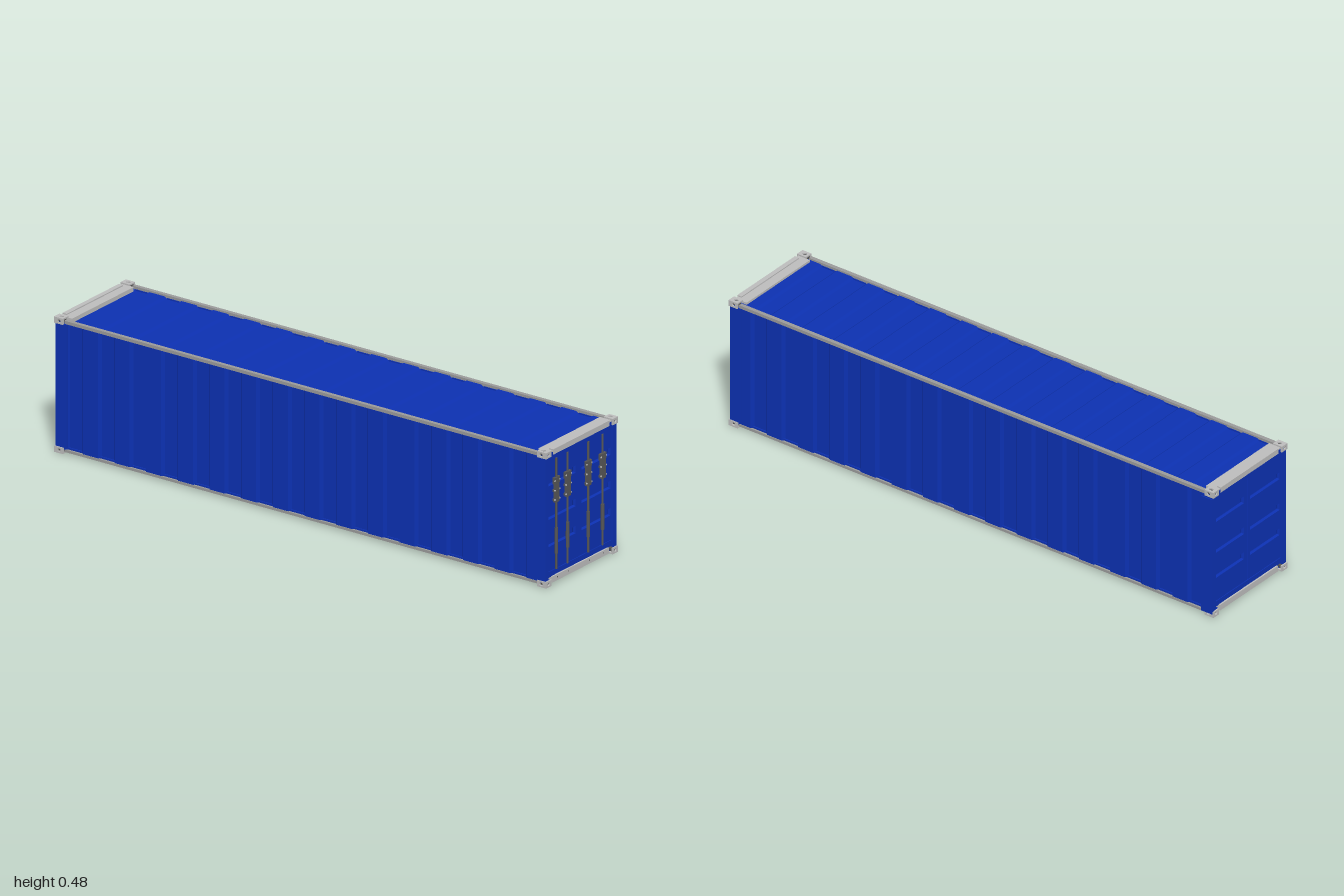
import * as THREE from 'three';

const mat = (color, side = THREE.FrontSide) =>
  new THREE.MeshStandardMaterial({ color, side, flatShading: true });

export function createModel() {
  const root = new THREE.Group();
  root.name = 'shippingContainer';
  const blue = mat(0x0c30b0), blueSheet = mat(0x0c30b0, THREE.DoubleSide);
  const grey = mat(0xbbbbbb), rail = mat(0x999999), dark = mat(0x555555), bolt = mat(0xaaaaaa);

  const add = (parent, name, geo, m, x = 0, y = 0, z = 0) => {
    const mesh = new THREE.Mesh(geo, m);
    mesh.name = name;
    mesh.position.set(x, y, z);
    parent.add(mesh);
    return mesh;
  };
  // Box given by its minimum and maximum corners
  const box = (parent, name, m, x0, x1, y0, y1, z0, z1) =>
    add(parent, name, new THREE.BoxGeometry(x1 - x0, y1 - y0, z1 - z0), m,
      (x0 + x1) / 2, (y0 + y1) / 2, (z0 + z1) / 2);
  const rect = (x0, x1, y0, y1, Type = THREE.Shape) => new Type([
    [x0, y0], [x1, y0], [x1, y1], [x0, y1]].map(p => new THREE.Vector2(...p)));

  // Corrugated sheet: trapezoid profile along local x, extruded along local z
  const PITCH = 0.1287;
  const sheet = (name, centre, depth, length, xAxis, yAxis, zAxis, origin) => {
    const outer = [[-0.975, 0]];
    for (let k = -7; k <= 7; k++) {
      const c = centre + k * PITCH;
      outer.push([c - 0.034, 0], [c - 0.025, -depth], [c + 0.025, -depth], [c + 0.034, 0]);
    }
    outer.push([0.975, 0]);
    const inner = outer.map(([s, t]) => [s, t - 0.004]).reverse();
    const shape = new THREE.Shape([...outer, ...inner].map(p => new THREE.Vector2(...p)));
    const geo = new THREE.ExtrudeGeometry(shape, { depth: length, bevelEnabled: false });
    geo.applyMatrix4(new THREE.Matrix4().makeBasis(xAxis, yAxis, zAxis).setPosition(...origin));
    add(root, name, geo, blueSheet);
  };
  const V = (x, y, z) => new THREE.Vector3(x, y, z);
  sheet('leftWall', -0.02, 0.01, 0.45, V(0, 0, 1), V(1, 0, 0), V(0, 1, 0), [0.192, 0.012, 0]);
  sheet('rightWall', 0.02, 0.01, 0.45, V(0, 0, -1), V(-1, 0, 0), V(0, 1, 0), [-0.192, 0.012, 0]);
  sheet('roof', 0.023, 0.007, 0.364, V(0, 0, -1), V(0, 1, 0), V(1, 0, 0), [-0.182, 0.465, 0]);
  box(root, 'floor', blue, -0.187, 0.187, 0.012, 0.022, -0.975, 0.975);

  // Long rails and corner posts
  for (const s of [-1, 1]) {
    box(root, 'topRail', rail, s * 0.188 - 0.007, s * 0.188 + 0.007, 0.46, 0.471, -0.96, 0.96);
    box(root, 'bottomRail', rail, s * 0.188 - 0.006, s * 0.188 + 0.006, 0.007, 0.016, -0.96, 0.96);
    for (const e of [-1, 1])
      box(root, 'cornerPost', blue, s * 0.187 - 0.009, s * 0.187 + 0.009, 0.022, 0.458,
        e * 0.973 - 0.022, e * 0.973 + 0.022);
  }
  box(root, 'outerPost', blue, 0.19, 0.2, 0.012, 0.45, -0.997, -0.95);

  // Corner casting: three pierced plates around a dark core, outward along +x +y +z
  const W = 0.03, H = 0.022, D = 0.042, T = 0.005;
  const plate = (w, h) => {
    const s = rect(-w / 2, w / 2, -h / 2, h / 2);
    const hole = new THREE.Path();
    hole.absellipse(0, 0, w * 0.2, h * 0.27, 0, Math.PI * 2, true);
    s.holes.push(hole);
    return new THREE.ExtrudeGeometry(s, { depth: T, bevelEnabled: false, curveSegments: 5 });
  };
  const casting = (sx, sy, sz) => {
    const g = new THREE.Group();
    g.name = 'cornerCasting';
    add(g, 'endPlate', plate(W, H), grey, 0, 0, sz > 0 ? D / 2 - T : -D / 2);
    const side = add(g, 'sidePlate', plate(D - 2 * T, H), grey, sx > 0 ? W / 2 - T : -W / 2);
    side.rotation.y = Math.PI / 2;
    const cap = add(g, 'capPlate', plate(W, D - 2 * T), grey, 0, sy > 0 ? H / 2 : -H / 2 + T);
    cap.rotation.x = Math.PI / 2;
    box(g, 'core', dark, -W / 2 + T + 0.002, W / 2 - T - 0.002, -H / 2 + T + 0.001, H / 2 - T - 0.001,
      -D / 2 + T + 0.002, D / 2 - T - 0.002);
    g.position.set(sx * 0.184, sy > 0 ? 0.467 : 0.011, sz * (1 - D / 2));
    root.add(g);
  };
  for (const sx of [-1, 1]) for (const sy of [-1, 1]) for (const sz of [-1, 1]) casting(sx, sy, sz);

  // End wall facing +z: surround, two leaves with sloped recesses, backing, sill and header
  const endWall = name => {
    const g = new THREE.Group();
    g.name = name;
    const frame = rect(-0.18, 0.18, 0.025, 0.458);
    frame.holes.push(rect(-0.178, 0.178, 0.045, 0.436, THREE.Path));
    add(g, 'doorSurround', new THREE.ExtrudeGeometry(frame, { depth: 0.015, bevelEnabled: false }),
      blue, 0, 0, 0.973);
    for (const [x0, x1, h0, h1] of [[-0.178, 0.002, -0.178, -0.016], [0.004, 0.178, 0.018, 0.176]]) {
      const leaf = rect(x0, x1, 0.045, 0.436);
      for (const y of [0.145, 0.241, 0.359])
        leaf.holes.push(rect(h0, h1, y - 0.013, y + 0.013, THREE.Path));
      add(g, 'doorLeaf', new THREE.ExtrudeGeometry(leaf, {
        depth: 0.002, bevelThickness: 0.006, bevelSize: 0.004, bevelSegments: 1 }), blue, 0, 0, 0.977);
    }
    box(g, 'doorBacking', blue, -0.18, 0.18, 0.03, 0.45, 0.966, 0.972);
    box(g, 'sill', grey, -0.155, 0.155, 0.006, 0.027, 0.945, 0.994);
    box(g, 'header', grey, -0.17, 0.17, 0.458, 0.473, 0.947, 0.994);
    box(g, 'headerLip', grey, -0.155, 0.155, 0.458, 0.477, 0.98, 0.997);
    for (const s of [-1, 1]) {
      box(g, 'headerPocket', blue, s * 0.163 - 0.008, s * 0.163 + 0.008, 0.459, 0.468, 0.985, 0.995);
      box(g, 'sillPocket', blue, s * 0.163 - 0.009, s * 0.163 + 0.009, 0.009, 0.013, 0.95, 0.985);
    }
    root.add(g);
    return g;
  };
  const front = endWall('frontDoors');
  endWall('backWall').rotation.y = Math.PI;

  // Locking bars with bracket, bolts and lower sleeve
  const stud = new THREE.SphereGeometry(0.0035, 8, 6);
  for (const x of [-0.128, -0.066, 0.048, 0.127]) {
    const g = new THREE.Group();
    g.name = 'lockingBar';
    g.position.set(x, 0, 0.989);
    add(g, 'rod', new THREE.CylinderGeometry(0.004, 0.004, 0.392, 10), dark, 0, 0.241);
    add(g, 'sleeve', new THREE.CylinderGeometry(0.006, 0.006, 0.09, 10), dark, 0, 0.145);
    box(g, 'bracket', dark, -0.011, 0.011, 0.282, 0.37, -0.004, 0.006);
    box(g, 'bracketHead', dark, -0.016, 0.016, 0.348, 0.37, -0.004, 0.004);
    for (const y of [0.292, 0.325, 0.359]) for (const s of [-1, 1]) {
      box(g, 'boltTab', dark, s * 0.012 - 0.004, s * 0.012 + 0.004, y - 0.004, y + 0.004, -0.004, 0.002);
      add(g, 'bolt', stud, bolt, s * 0.013, y, 0.004);
    }
    add(g, 'sillBolt', stud, dark, 0, 0.018, 0.003);
    front.add(g);
  }
  return root;
}
